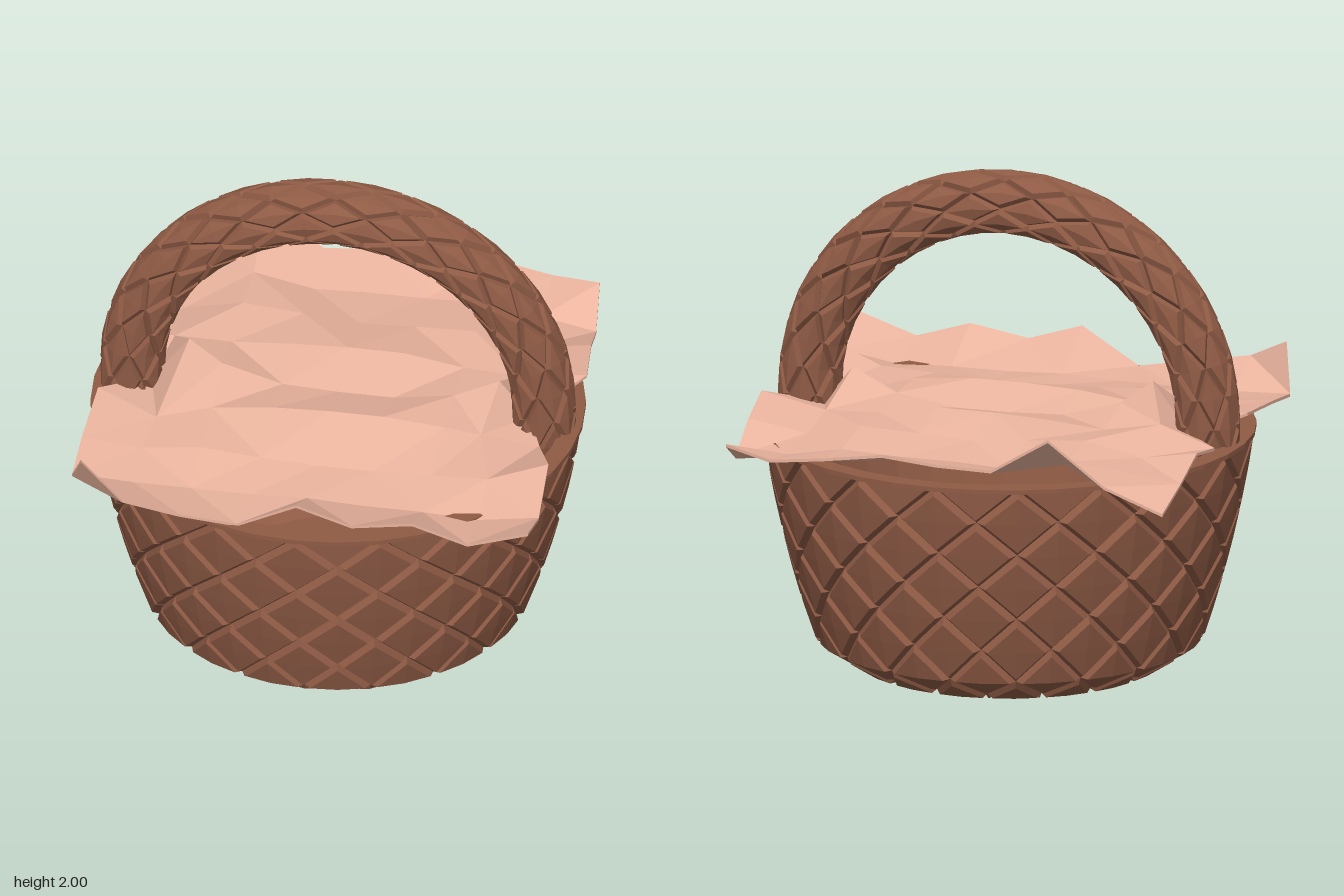
import * as THREE from 'three';

const wicker = new THREE.MeshStandardMaterial({ color: 0x8f5b45, flatShading: true });
const fabric = new THREE.MeshStandardMaterial({ color: 0xeab49e, flatShading: true, side: THREE.DoubleSide });

function flatMesh(name, positions, material) {
  const g = new THREE.BufferGeometry();
  g.setAttribute('position', new THREE.Float32BufferAttribute(positions, 3));
  g.computeVertexNormals();
  const m = new THREE.Mesh(g, material);
  m.name = name;
  return m;
}

// Covers a closed band with raised, bevelled diamonds.
// point(c, k) gives the groove surface at column c, row k; odd c + k are diamond centres.
function quilt(name, cols, rows, point, raise, border) {
  const out = [];
  const tri = (...ps) => ps.forEach((p) => out.push(p.x, p.y, p.z));
  for (let k = 0; k <= rows; k++) {
    for (let c = 0; c < cols; c++) {
      if ((c + k) % 2 === 0) continue;
      const ring = [point(c + 1, k)];
      if (k < rows) ring.push(point(c, k + 1));
      ring.push(point(c - 1, k));
      if (k > 0) ring.push(point(c, k - 1));
      const n = ring[1].clone().sub(ring[0])
        .cross(ring[2].clone().sub(ring[0])).normalize().multiplyScalar(raise);
      const mid = ring.reduce((s, p) => s.add(p), new THREE.Vector3()).divideScalar(ring.length);
      const inner = ring.map((p) => p.clone().lerp(mid, border).add(n));
      // full diamonds bulge toward the curved surface
      const top = mid.clone().add(n);
      if (ring.length === 4) top.lerp(point(c, k).add(n), 0.85);
      ring.forEach((p, i) => {
        const j = (i + 1) % ring.length;
        tri(p, ring[j], inner[j]);
        tri(p, inner[j], inner[i]);
        tri(inner[i], inner[j], top);
      });
    }
  }
  return flatMesh(name, out, wicker);
}

function makeBasket() {
  const basket = new THREE.Group();
  basket.name = 'basket';

  // groove profile: rounded underside, then the flaring wall
  const levels = [[0.37, 0.025], [0.6, 0.05]];
  for (let k = 0; k <= 6; k++) {
    const t = k / 6;
    levels.push([0.742 + 0.198 * t * (1.4 - 0.4 * t), 0.14 + 0.83 * t]);
  }
  basket.add(quilt('wovenWall', 36, levels.length - 1, (c, k) => {
    const a = (c * Math.PI) / 18;
    const [r, y] = levels[k];
    return new THREE.Vector3(r * Math.sin(a), y, r * Math.cos(a));
  }, 0.025, 0.17));

  // rim lip, inner wall and floor
  const profile = [[0.935, 0.955], [0.967, 0.96], [0.967, 0.978], [0.89, 0.978],
    [0.87, 0.9], [0.8, 0.5], [0.69, 0.15], [0.5, 0.08], [0, 0.08]];
  const lining = new THREE.Mesh(
    new THREE.LatheGeometry(profile.map(([x, y]) => new THREE.Vector2(x, y)), 36), wicker);
  lining.name = 'rimAndLining';
  basket.add(lining);

  const base = new THREE.Mesh(new THREE.CircleGeometry(0.4, 36), wicker);
  base.name = 'base';
  base.rotation.x = Math.PI / 2;
  base.position.y = 0.02;
  basket.add(base);
  return basket;
}

function makeHandle() {
  const handle = new THREE.Group();
  handle.name = 'handle';
  const R = 0.816, centreY = 1.06, leg = 0.13, tube = 0.108, rows = 24, cols = 12;
  const length = Math.PI * R + 2 * leg;

  // straight legs joined by a half circle
  handle.add(quilt('wovenHandle', cols, rows, (c, k) => {
    const s = (length * k) / rows - leg;
    const a = THREE.MathUtils.clamp(s / R, 0, Math.PI);
    const drop = s < 0 ? s : Math.min(0, Math.PI * R - s);
    const phi = (c / cols) * Math.PI * 2;
    const r = R + tube * Math.sin(phi);
    return new THREE.Vector3(r * Math.cos(a), centreY + r * Math.sin(a) + drop, tube * Math.cos(phi));
  }, 0.022, 0.17));

  for (const side of [-1, 1]) {
    const cap = new THREE.Mesh(new THREE.CircleGeometry(tube, cols), wicker);
    cap.name = 'handleEnd';
    cap.rotation.x = Math.PI / 2;
    cap.position.set(side * R, centreY - leg, 0);
    handle.add(cap);
  }
  return handle;
}

function makeCloth() {
  const xs = [-0.93, -0.69, -0.46, -0.22, 0, 0.22, 0.46, 0.68, 0.92];
  const zs = [-0.93, -0.7, -0.46, -0.22, 0, 0.22, 0.48, 0.69, 0.93];
  // heights, back row first
  const heights = [
    [0.94, 1.03, 1.2, 1.05, 1.06, 1.08, 1.05, 1.02, 1.05],
    [1.0, 1.03, 1.05, 1.0, 1.01, 1.01, 1.02, 0.98, 0.95],
    [1.06, 1.02, 1.07, 1.05, 1.03, 1.04, 1.05, 1.0, 1.04],
    [1.03, 1.08, 1.05, 1.07, 1.08, 1.08, 1.04, 1.03, 1.08],
    [1.0, 1.2, 1.1, 1.03, 1.02, 1.02, 1.06, 1.15, 1.0],
    [1.05, 1.01, 1.04, 1.07, 1.08, 1.08, 1.06, 1.02, 0.99],
    [1.02, 1.0, 1.03, 1.01, 1.0, 1.0, 1.01, 1.02, 1.12],
    [0.99, 0.98, 0.98, 0.98, 0.99, 0.98, 0.98, 0.97, 1.01],
    [1.16, 1.06, 1.02, 0.985, 1.12, 1.05, 1.09, 1.02, 1.1],
  ];
  const last = 8;
  // uneven edges: tucked in beside the handle, two corners pulled in
  const moved = {
    '0,4': [-0.74, 0], '1,4': [-0.59, 0], '7,4': [0.64, 0], '8,4': [0.76, 0],
    '0,3': [-0.93, -0.27], '1,3': [-0.68, -0.18], '8,3': [0.95, -0.2],
    '0,5': [-0.92, 0.18], '1,5': [-0.67, 0.28], '7,5': [0.6, 0.19], '8,5': [0.83, 0.18],
    '0,8': [-0.87, 0.83], '8,0': [0.88, -0.87], '6,0': [0.46, -0.95], '3,8': [-0.24, 0.905],
    '0,2': [-0.92, -0.46], '8,2': [0.92, -0.46], '8,1': [0.9, -0.68], '3,0': [-0.22, -0.91],
  };
  const at = (i, j, drop = 0) => {
    const [x, z] = moved[`${i},${j}`] ?? [xs[i], zs[j]];
    return [x, heights[j][i] - drop, z];
  };
  const out = [];
  // split each quad along its flatter diagonal
  const quad = (a, b, c, d) => {
    if (Math.abs(a[1] - c[1]) < Math.abs(b[1] - d[1])) out.push(...a, ...b, ...c, ...a, ...c, ...d);
    else out.push(...a, ...b, ...d, ...b, ...c, ...d);
  };
  const t = 0.012;
  for (let j = 0; j < last; j++) {
    for (let i = 0; i < last; i++) {
      quad(at(i, j), at(i, j + 1), at(i + 1, j + 1), at(i + 1, j));
      quad(at(i, j, t), at(i + 1, j, t), at(i + 1, j + 1, t), at(i, j + 1, t));
    }
  }
  // thin hem all round
  for (let k = 0; k < last; k++) {
    quad(at(k, last), at(k, last, t), at(k + 1, last, t), at(k + 1, last));
    quad(at(k + 1, 0), at(k + 1, 0, t), at(k, 0, t), at(k, 0));
    quad(at(0, k), at(0, k, t), at(0, k + 1, t), at(0, k + 1));
    quad(at(last, k + 1), at(last, k + 1, t), at(last, k, t), at(last, k));
  }
  return flatMesh('cloth', out, fabric);
}

export function createModel() {
  const model = new THREE.Group();
  model.name = 'picnicBasket';
  model.add(makeBasket(), makeHandle(), makeCloth());
  return model;
}
